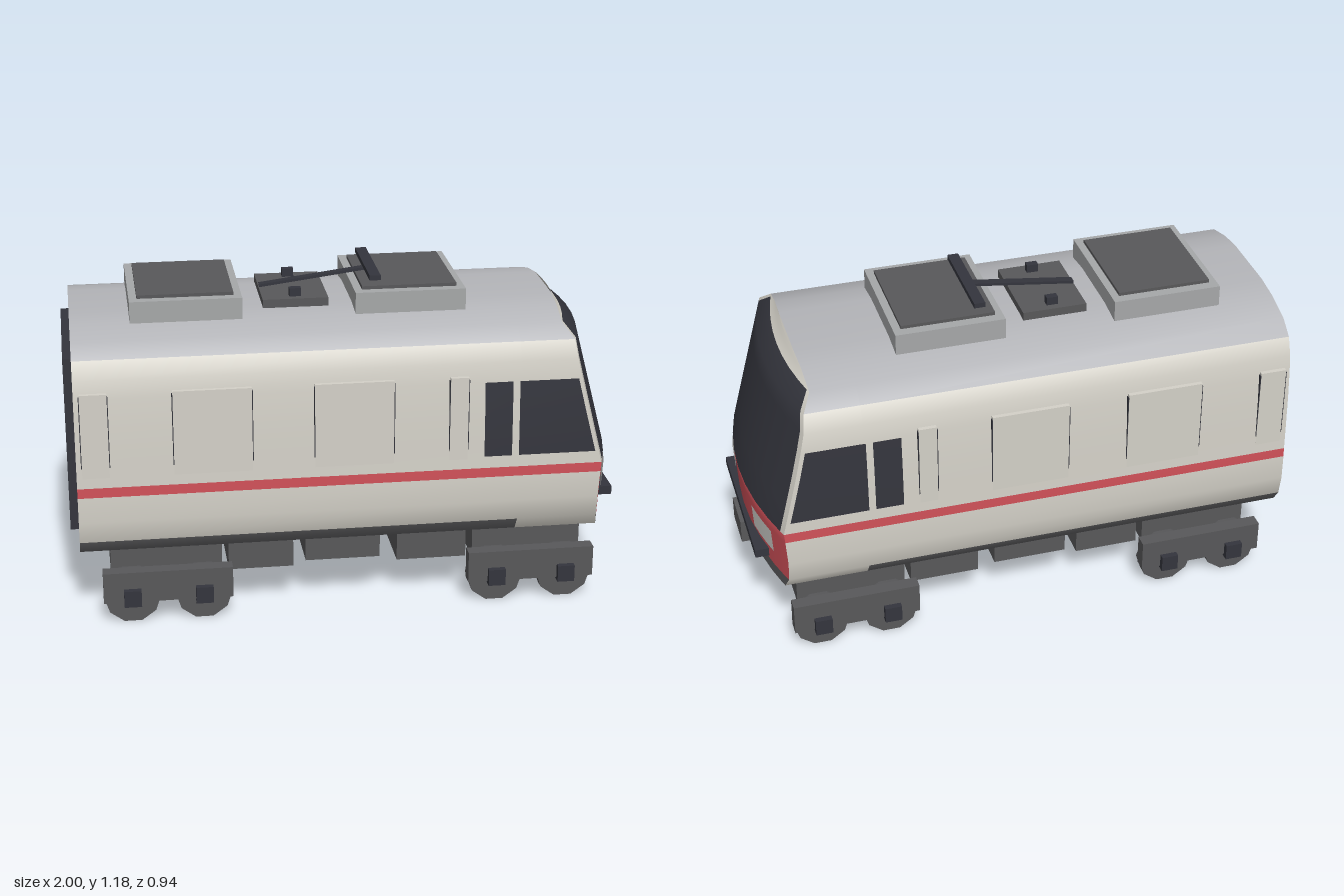
import * as THREE from 'three';

const material = (name, color) => {
  const m = new THREE.MeshStandardMaterial({ color, side: THREE.DoubleSide });
  m.name = name;
  return m;
};

// Half cross-section of the car: [y, half width]
const PROFILE = [
  [0.27, 0.40], [0.32, 0.435], [0.40, 0.45], [0.495, 0.449], [0.53, 0.447], [0.64, 0.444], [0.75, 0.44],
  [0.85, 0.433], [0.92, 0.425], [0.985, 0.40], [1.03, 0.34], [1.06, 0.23], [1.073, 0.13],
];
// Centre line of the sloping nose: [y, x]
const NOSE = [[0.27, 0.965], [0.53, 0.98], [0.985, 0.86], [1.03, 0.808], [1.073, 0.778]];

function lookup(table, y) {
  for (let i = 1; i < table.length; i++) {
    const [y0, a] = table[i - 1], [y1, b] = table[i];
    if (y <= y1 + 1e-6) return a + (b - a) * (y - y0) / (y1 - y0);
  }
  return table[table.length - 1][1];
}
const halfWidth = (y) => lookup(PROFILE, y);
const noseX = (y, z) => lookup(NOSE, y) - 0.4 * z * z;

// Smooth grid of rows and columns; pick(row, col) gives the material index of each cell
function grid(name, rows, cols, point, mats, pick = () => 0) {
  const pos = [], cells = mats.map(() => []);
  for (const r of rows) for (const c of cols) pos.push(...point(r, c));
  const w = cols.length;
  for (let i = 0; i < rows.length - 1; i++) {
    for (let j = 0; j < w - 1; j++) {
      const a = i * w + j, b = a + 1, c = a + w, d = c + 1;
      cells[pick(i, j)].push(a, b, d, a, d, c);
    }
  }
  const geo = new THREE.BufferGeometry();
  geo.setAttribute('position', new THREE.Float32BufferAttribute(pos, 3));
  geo.setIndex(cells.flat());
  let start = 0;
  cells.forEach((cell, k) => {
    geo.addGroup(start, cell.length, k);
    start += cell.length;
  });
  geo.computeVertexNormals();
  const mesh = new THREE.Mesh(geo, mats);
  mesh.name = name;
  return mesh;
}

// Box given by its limits on each axis
function box(name, mat, [x0, x1], [y0, y1], [z0, z1]) {
  const mesh = new THREE.Mesh(new THREE.BoxGeometry(x1 - x0, y1 - y0, z1 - z0), mat);
  mesh.position.set((x0 + x1) / 2, (y0 + y1) / 2, (z0 + z1) / 2);
  mesh.name = name;
  return mesh;
}
const sides = (s, a, b) => (s > 0 ? [a, b] : [-b, -a]);

export function createModel() {
  const train = new THREE.Group();
  train.name = 'railCar';
  const cream = material('bodyCream', 0xd4d1c8);
  const roofGrey = material('roofGrey', 0xb4b5b9);
  const unitGrey = material('unitGrey', 0xa6a8a9);
  const under = material('underframeGrey', 0x58585a);
  const dark = material('darkGlass', 0x34353d);
  const red = material('stripeRed', 0xcf5058);
  const lamp = material('lampWhite', 0xcbcbc7);

  // Shell: a loop over the roof from one side to the other
  const loop = [...PROFILE.map(([y, z]) => [y, z]), ...PROFILE.map(([y, z]) => [y, -z]).reverse()];
  train.add(grid('bodyShell', loop, [0, 1, 2],
    ([y, z], c) => [[-0.97, 0.6, noseX(y, z)][c], y, z],
    [cream, roofGrey, red, under],
    (i, j) => {
      const k = Math.min(i, loop.length - 2 - i);
      if (k === 0) return j === 0 ? 3 : 0;
      if (k === 3) return 2;
      return k >= 9 ? 1 : 0;
    }));

  // Rear wall and floor
  const wall = new THREE.Mesh(
    new THREE.ShapeGeometry(new THREE.Shape(loop.map(([y, z]) => new THREE.Vector2(z, y)))), cream);
  wall.rotation.y = -Math.PI / 2;
  wall.position.x = -0.97;
  wall.name = 'rearWall';
  train.add(wall);
  const across = [-1, -0.75, -0.5, -0.25, 0, 0.25, 0.5, 0.75, 1];
  train.add(grid('floor', [0, 1], across,
    (r, t) => [r ? noseX(0.27, t * 0.4) : -0.97, 0.27, t * 0.4], [under]));
  train.add(box('gangway', dark, [-1, -0.965], [0.31, 0.955], [-0.29, 0.29]));

  // Curved nose: dark sill, red apron, windscreen and cream frame
  const noseCols = [-1, -0.945, -0.75, -0.5, -0.25, 0, 0.25, 0.5, 0.75, 0.945, 1];
  train.add(grid('nose', PROFILE, noseCols,
    ([y, w], t) => [noseX(y, t * w), y, -t * w],
    [cream, dark, red, under],
    (i, j) => {
      if (i === 0) return 3;
      if (i < 4) return 2;
      return i < 10 && j > 0 && j < noseCols.length - 2 ? 1 : 0;
    }));

  for (const s of [1, -1]) {
    // Headlamps
    train.add(grid('headlamp', [0.4, 0.49], [0.19, 0.245, 0.3, 0.36],
      (y, z) => [noseX(y, z) + 0.006, y, s * z], [lamp]));

    // Cab windows
    const paneRows = [0.575, 0.64, 0.75, 0.85];
    const pane = (name, x0, x1) => grid(name, paneRows, [0, 1],
      (y, t) => [t ? x1(y) : x0, y, s * (halfWidth(y) + 0.004)], [dark]);
    train.add(pane('cabDoorWindow', 0.47, () => 0.57));
    train.add(pane('cabSideWindow', 0.595, (y) => noseX(y, halfWidth(y)) - 0.014));

    // Flat side panels with narrow dark seams at both edges
    for (const [a, b] of [[-0.95, -0.855], [-0.63, -0.355], [-0.135, 0.145], [0.345, 0.41]]) {
      train.add(box('sidePanel', cream, [a, b], [0.535, 0.875], sides(s, 0.42, 0.446)));
      for (const x of [a, b]) {
        train.add(box('panelSeam', dark, [x - 0.003, x + 0.003], [0.56, 0.865], sides(s, 0.42, 0.445)));
      }
    }
  }

  // Roof units with grilles
  for (const x of [-0.5625, 0.235]) {
    train.add(box('roofUnit', unitGrey, [x - 0.198, x + 0.198], [1.05, 1.136], [-0.237, 0.237]));
    train.add(box('roofGrille', under, [x - 0.17, x + 0.17], [1.13, 1.148], [-0.2, 0.2]));
  }

  // Current collector
  train.add(box('collectorBase', under, [-0.285, -0.05], [1.06, 1.1], [-0.16, 0.16]));
  for (const z of [-0.12, 0.12]) {
    train.add(box('insulator', dark, [-0.187, -0.145], [1.1, 1.13], [z - 0.013, z + 0.013]));
  }
  const arm = box('collectorArm', dark, [-0.285, 0.115], [1.13, 1.14], [-0.015, 0.015]);
  arm.position.y = 1.133;
  arm.rotation.z = 0.13;
  train.add(arm);
  train.add(box('collectorHead', dark, [0.095, 0.135], [1.162, 1.18], [-0.18, 0.18]));

  // Coupler and bumper bar
  train.add(box('coupler', under, [0.935, 1], [0.25, 0.338], [-0.08, 0.08]));
  train.add(box('bumperBar', dark, [0.935, 0.985], [0.338, 0.37], [-0.3, 0.3]));

  // Equipment boxes below the floor
  for (const [a, b, y] of [[-0.44, -0.205, 0.145], [-0.16, 0.112, 0.163], [0.175, 0.43, 0.145]]) {
    train.add(box('equipmentBox', under, [a, b], [y, 0.27], [-0.35, 0.35]));
  }

  // Bogies
  const wheelGeo = new THREE.CylinderGeometry(0.102, 0.102, 0.045, 10, 1, false, Math.PI / 10);
  wheelGeo.rotateX(Math.PI / 2);
  for (const x of [-0.664, 0.654]) {
    const bogie = new THREE.Group();
    bogie.name = 'bogie';
    bogie.position.x = x;
    bogie.add(box('bolster', under, [-0.2, 0.2], [0.14, 0.25], [-0.35, 0.35]));
    bogie.add(box('pivot', under, [-0.16, 0.16], [0.25, 0.27], [-0.31, 0.31]));
    for (const s of [1, -1]) {
      bogie.add(box('sideFrame', under, [-0.231, 0.231], [0.085, 0.2], sides(s, 0.4, 0.45)));
      for (const dx of [-0.128, 0.128]) {
        const wheel = new THREE.Mesh(wheelGeo, under);
        wheel.position.set(dx, 0.097, s * 0.402);
        wheel.name = 'wheel';
        bogie.add(wheel);
        bogie.add(box('axleBox', dark, [dx - 0.031, dx + 0.031], [0.075, 0.137], sides(s, 0.43, 0.472)));
      }
    }
    train.add(bogie);
  }
  return train;
}
